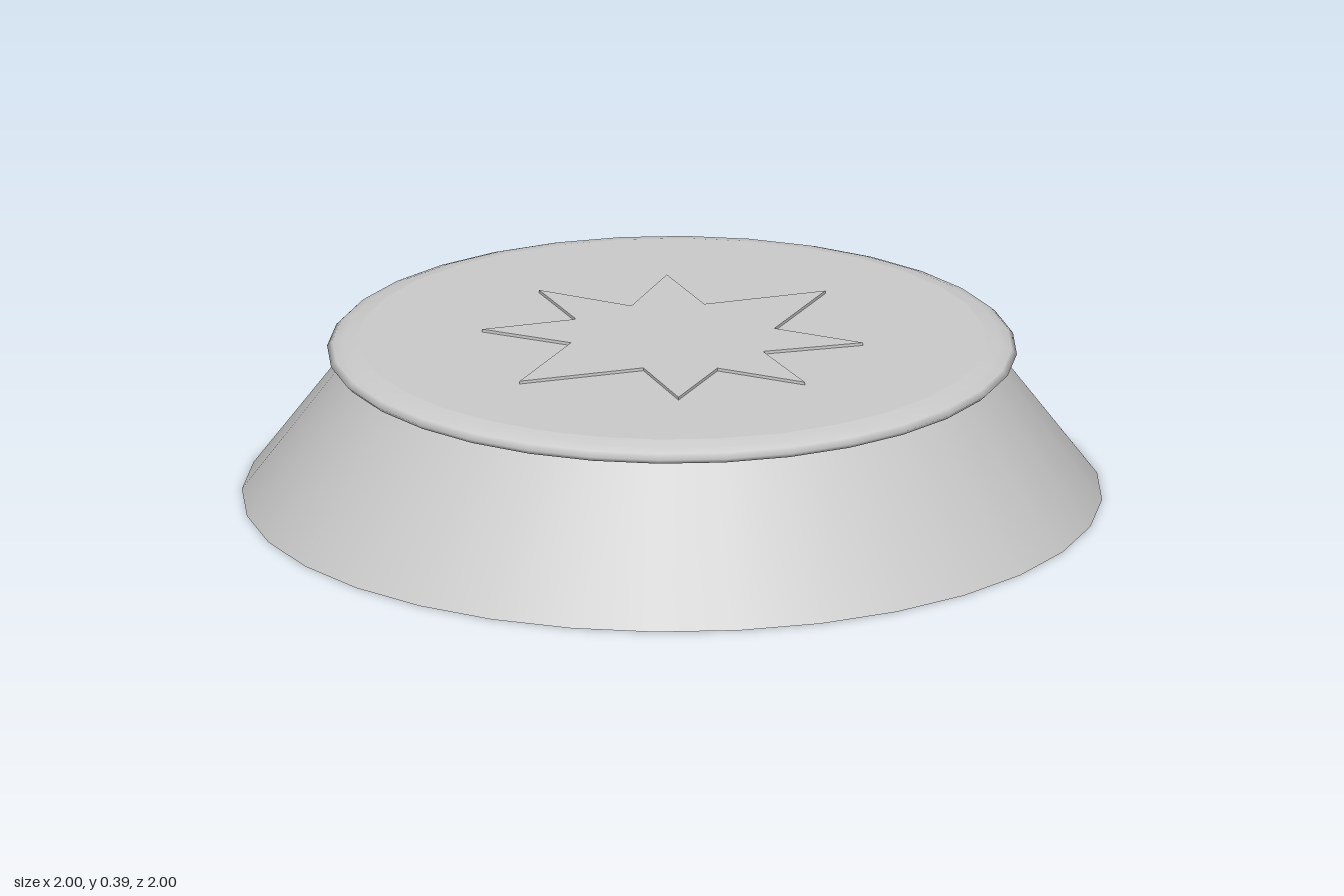
import * as THREE from 'three';

const SIDES = 32;

export function createModel() {
  const group = new THREE.Group();
  const material = new THREE.MeshStandardMaterial({ color: 0xcccccc });
  const add = (name, geometry, y = 0) => {
    const mesh = new THREE.Mesh(geometry, material);
    mesh.name = name;
    mesh.position.y = y;
    group.add(mesh);
    return mesh;
  };

  // Sloping body, closed underneath
  add('taperedBase', new THREE.CylinderGeometry(0.745, 1, 0.34, SIDES), 0.17);

  // Rounded lip overhanging the body
  const lip = [
    [0.72, 0.334], [0.765, 0.335], [0.79, 0.342], [0.802, 0.354],
    [0.79, 0.366], [0.765, 0.375], [0.73, 0.381],
  ].map(([r, y]) => new THREE.Vector2(r, y));
  add('roundedRim', new THREE.LatheGeometry(lip, SIDES));

  // Flat top inside the lip
  const top = new THREE.CircleGeometry(0.73, SIDES).rotateX(-Math.PI / 2);
  add('topFace', top, 0.381);

  // Thin raised eight-pointed star; right half as [x, z], mirrored to the left
  const half = [
    [0, -0.485], [0.12, -0.213], [0.336, -0.294], [0.225, -0.08], [0.455, 0],
    [0.242, 0.08], [0.336, 0.29], [0.124, 0.205], [0, 0.482],
  ];
  const mirrored = half.slice(1, -1).reverse().map(([x, z]) => [-x, z]);
  const outline = [...half, ...mirrored].map(([x, z]) => new THREE.Vector2(x, -z));
  const star = new THREE.ExtrudeGeometry(new THREE.Shape(outline), {
    depth: 0.012, bevelEnabled: false,
  }).rotateX(-Math.PI / 2);
  add('raisedStar', star, 0.376);

  return group;
}
